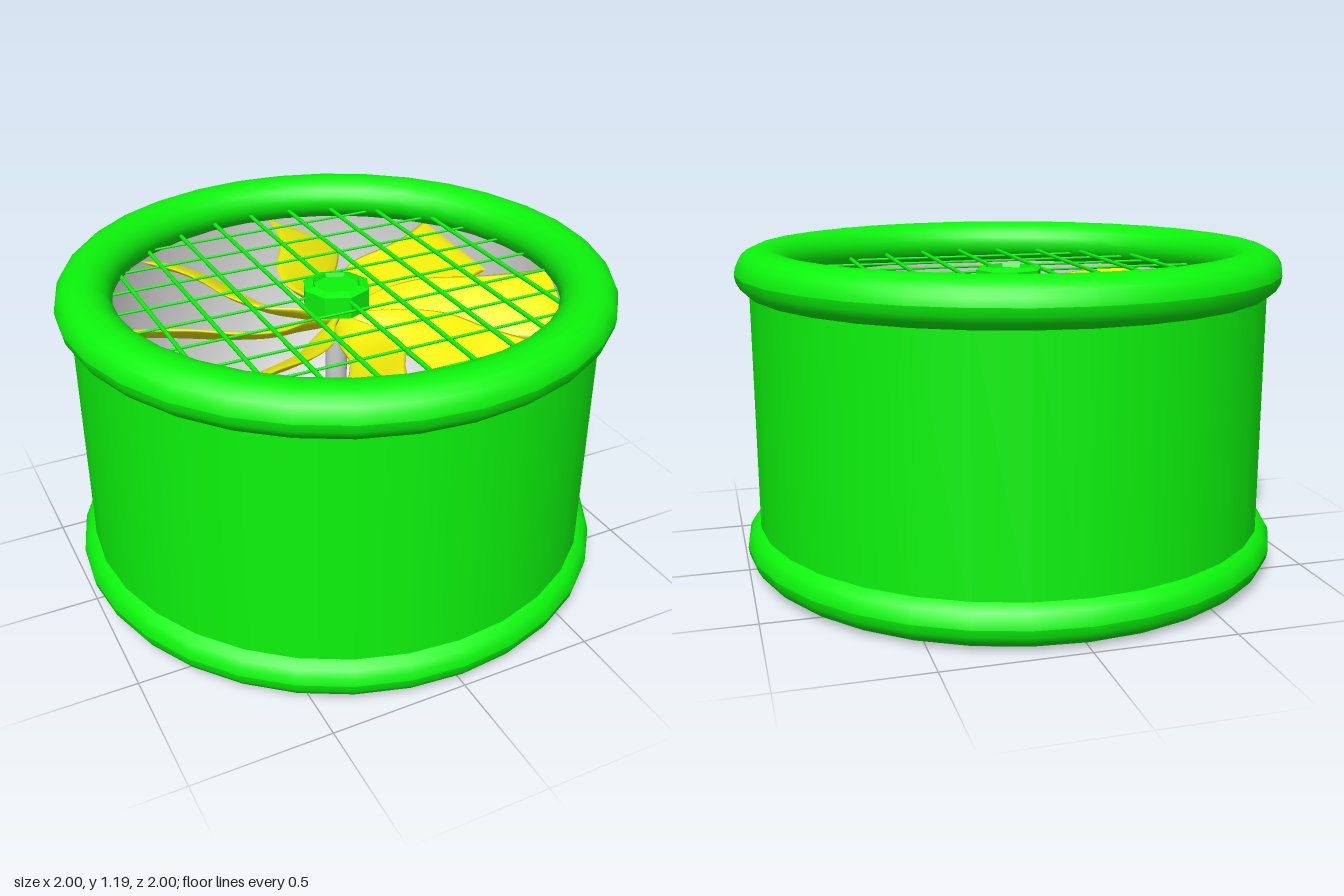
import * as THREE from 'three';

const green = new THREE.MeshStandardMaterial({ color: 0x0cf50c });
const hubGreen = new THREE.MeshStandardMaterial({ color: 0x0cf50c, flatShading: true });
const yellow = new THREE.MeshStandardMaterial({ color: 0xf5f00a });
const grey = new THREE.MeshStandardMaterial({ color: 0xcccccc });

const SIDES = 32;

function add(parent, name, geometry, material) {
  const mesh = new THREE.Mesh(geometry, material);
  mesh.name = name;
  parent.add(mesh);
  return mesh;
}

function lathe(points, sides = SIDES) {
  return new THREE.LatheGeometry(points.map(([r, y]) => new THREE.Vector2(r, y)), sides);
}

// Rounded rim: an oval swept around the housing
function rimGeometry(centerY) {
  const points = [];
  for (let i = 0; i <= 20; i++) {
    const a = (i / 20) * Math.PI * 2;
    points.push([0.9 + 0.1 * Math.cos(a), centerY + 0.0875 * Math.sin(a)]);
  }
  return lathe(points);
}

// Swept, pitched blade: lens sections between its high and low edges
function bladeGeometry() {
  const y = 0.95;
  const high = [[-0.02, 0.03, -0.03], [-0.04, 0.04, -0.13], [-0.08, 0.045, -0.25], [-0.065, 0.06, -0.4],
    [0.015, 0.07, -0.55], [0.07, 0.075, -0.7], [0.095, 0.075, -0.86]];
  const low = [[0.02, -0.03, -0.03], [0.05, -0.04, -0.13], [0.07, -0.045, -0.25], [0.165, -0.06, -0.4],
    [0.27, -0.07, -0.55], [0.35, -0.075, -0.69], [0.39, -0.075, -0.79]];
  const curve = (pts) => new THREE.CatmullRomCurve3(pts.map((p) => new THREE.Vector3(p[0], y + p[1], p[2])));
  const highEdge = curve(high), lowEdge = curve(low);
  const rows = 20, around = 16, positions = [], index = [];
  for (let i = 0; i <= rows; i++) {
    const s = i / rows;
    const h = highEdge.getPoint(s), l = lowEdge.getPoint(s);
    const mid = h.clone().add(l).multiplyScalar(0.5);
    const half = l.clone().sub(h).multiplyScalar(0.5);
    const up = new THREE.Vector3(-half.y, half.x, 0).normalize();
    const thick = i === rows ? 0 : 0.014;
    for (let j = 0; j < around; j++) {
      const t = (j / around) * Math.PI * 2;
      const p = mid.clone().addScaledVector(half, Math.cos(t)).addScaledVector(up, thick * Math.sin(t));
      positions.push(p.x, p.y, p.z);
      if (i < rows) {
        const a = i * around + j, c = i * around + ((j + 1) % around);
        index.push(a, a + around, c, c, a + around, c + around);
      }
    }
  }
  const g = new THREE.BufferGeometry();
  g.setAttribute('position', new THREE.Float32BufferAttribute(positions, 3));
  g.setIndex(index);
  g.computeVertexNormals();
  return g;
}

export function createModel() {
  const model = new THREE.Group();
  model.name = 'ductedFan';

  // Housing: wall, two rims, base and grey inside
  const housing = new THREE.Group();
  housing.name = 'housing';
  model.add(housing);
  add(housing, 'wall', lathe([[0.95, 0.08], [0.95, 1.1]]), green);
  add(housing, 'bottomRim', rimGeometry(0.0875), green);
  add(housing, 'topRim', rimGeometry(1.1), green);
  add(housing, 'base', lathe([[0, 0], [0.9, 0]]), green);
  add(housing, 'innerLining', lathe([[0.945, 1.1], [0.945, 0.01], [0, 0.01]]), grey);

  // Rotor: shaft and eight blades
  const rotor = new THREE.Group();
  rotor.name = 'rotor';
  model.add(rotor);
  const shaft = add(rotor, 'shaft', new THREE.CylinderGeometry(0.04, 0.04, 1.03, 16), grey);
  shaft.position.y = 0.52;
  const blade = bladeGeometry();
  for (let k = 0; k < 8; k++) {
    add(rotor, 'blade', blade, yellow).rotation.y = (k * Math.PI) / 4;
  }

  // Eight-sided hub cap with a shallow recess
  add(model, 'hubCap', lathe([[0, 1.01], [0.125, 1.01], [0.125, 1.09], [0.09, 1.1], [0.085, 1.085], [0, 1.085]], 8), hubGreen);

  // Guard grid: thicker bars front to back, thinner bars across
  const guard = new THREE.Group();
  guard.name = 'guardGrid';
  model.add(guard);
  for (let i = -4; i <= 4; i++) {
    const d = i / 6;
    const length = 2 * Math.sqrt(0.84 * 0.84 - d * d);
    const long = add(guard, 'longBar', new THREE.CylinderGeometry(0.008, 0.008, length, 8), green);
    long.rotation.x = Math.PI / 2;
    long.position.set(d, 1.07, 0);
    const cross = add(guard, 'crossBar', new THREE.CylinderGeometry(0.005, 0.005, length, 8), green);
    cross.rotation.z = Math.PI / 2;
    cross.position.set(0, 1.06, d);
  }
  return model;
}
